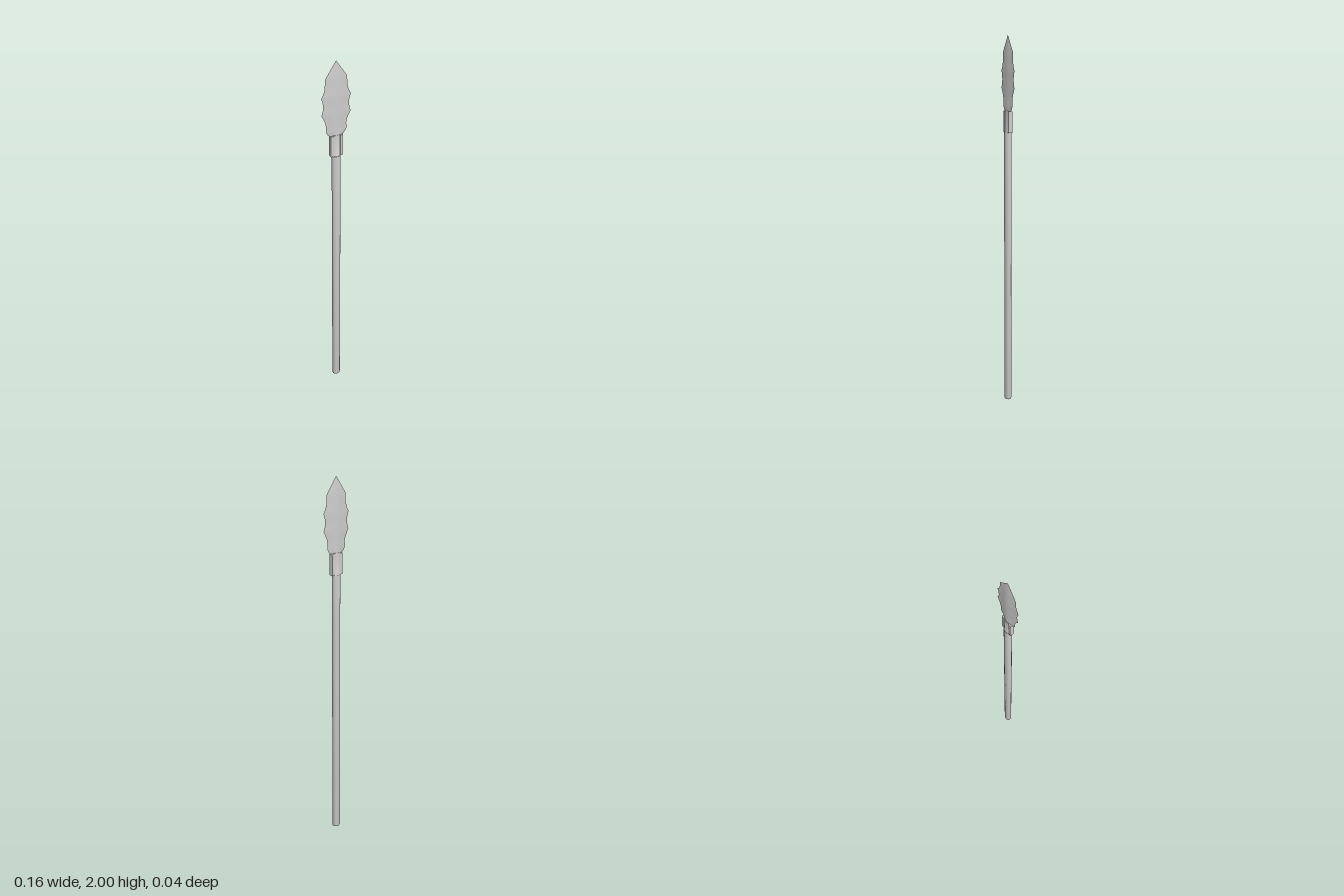
import * as THREE from 'three';
import { toCreasedNormals } from 'three/addons/utils/BufferGeometryUtils.js';

const grey = new THREE.MeshStandardMaterial({ color: 0xcccccc });

// Skins rows of [y, halfWidth, halfDepth] with a closed unit section of [x, z] points
function loft(rows, section, crease) {
  const n = section.length, pos = [], idx = [];
  for (const [y, w, d] of rows) for (const [x, z] of section) pos.push(x * w, y, z * d);
  for (let r = 0; r < rows.length - 1; r++) {
    for (let i = 0; i < n; i++) {
      const a = r * n + i, b = r * n + (i + 1) % n;
      idx.push(a, a + n, b, b, a + n, b + n);
    }
  }
  const g = new THREE.BufferGeometry();
  g.setAttribute('position', new THREE.Float32BufferAttribute(pos, 3));
  g.setIndex(idx);
  return toCreasedNormals(g, crease);
}

function add(group, name, geometry) {
  const mesh = new THREE.Mesh(geometry, grey);
  mesh.name = name;
  group.add(mesh);
  return mesh;
}

export function createModel() {
  const spear = new THREE.Group();
  spear.name = 'spear';

  // Oval section for the wood
  const oval = Array.from({ length: 16 }, (_, i) => {
    const a = (i / 16) * Math.PI * 2;
    return [Math.cos(a), Math.sin(a)];
  });

  // Shaft with a small bevel at the foot
  add(spear, 'shaft', loft([
    [0, 0, 0], [0, 0.021, 0.017], [0.008, 0.0235, 0.019],
    [1.5, 0.0235, 0.019], [1.5, 0, 0],
  ], oval, 0.6));

  // Thinned neck that carries the blade
  add(spear, 'neck', loft([
    [1.495, 0.0235, 0.019], [1.505, 0.0235, 0.014],
    [1.615, 0.0235, 0.012], [1.615, 0, 0],
  ], oval, 0.6));

  // Flat cheeks on either side of the neck
  for (const side of [1, -1]) {
    const cheek = add(spear, side > 0 ? 'leftCheek' : 'rightCheek',
      new THREE.BoxGeometry(0.016, 0.112, 0.022));
    cheek.position.set(side * 0.026, 1.556, 0);
  }

  // Lens section with hollow flanks running out to sharp edges
  const half = [1, 0.8, 0.6, 0.4, 0.2, 0, -0.2, -0.4, -0.6, -0.8];
  const lens = [1, -1].flatMap((s) => half.map((t) =>
    [s * t, s * (0.5 + 0.5 * Math.cos(Math.PI * t)) * 0.6 + s * 0.4 * (1 - Math.abs(t))]));

  // Scalloped blade: two points per flank with shallow bites between
  add(spear, 'blade', loft([
    [1.608, 0, 0], [1.608, 0.034, 0.011], [1.625, 0.05, 0.0105],
    [1.64, 0.057, 0.01], [1.67, 0.056, 0.01], [1.69, 0.06, 0.01],
    [1.71, 0.069, 0.01], [1.73, 0.08, 0.01], [1.75, 0.073, 0.01],
    [1.775, 0.07, 0.01], [1.80, 0.073, 0.01], [1.82, 0.08, 0.01],
    [1.84, 0.069, 0.0095], [1.865, 0.062, 0.009], [1.89, 0.06, 0.008],
    [1.915, 0.059, 0.0075], [1.95, 0.035, 0.005], [2, 0, 0],
  ], lens, 0.6));

  return spear;
}
